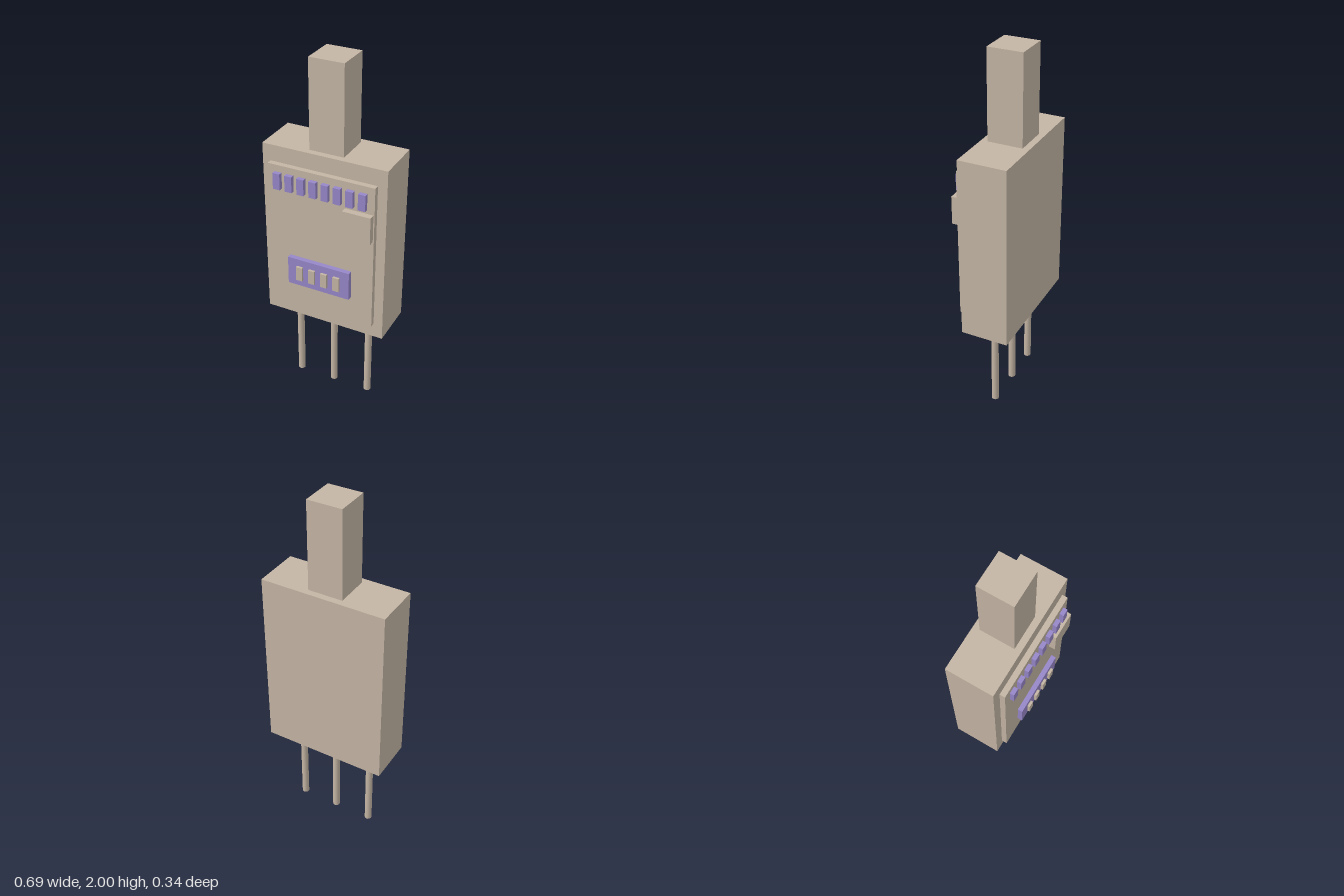
import * as THREE from 'three';

export function createModel() {
  const model = new THREE.Group();
  model.name = 'electronicModule';
  const tan = new THREE.MeshStandardMaterial({ color: 0xc4b5a4 });
  const purple = new THREE.MeshStandardMaterial({ color: 0x9686c8 });

  // Box given by its limits on each axis
  function box(name, [x0, x1], [y0, y1], [z0, z1], material = tan) {
    const mesh = new THREE.Mesh(new THREE.BoxGeometry(x1 - x0, y1 - y0, z1 - z0), material);
    mesh.position.set((x0 + x1) / 2, (y0 + y1) / 2, (z0 + z1) / 2);
    mesh.name = name;
    model.add(mesh);
  }

  // Housing with the square stem on top
  box('housing', [-0.346, 0.346], [0.508, 1.518], [-0.172, 0.09]);
  box('stem', [-0.096, 0.095], [1.518, 2], [-0.136, 0.055]);

  // Circuit board on the front, with a square chip
  box('board', [-0.299, 0.297], [0.598, 1.43], [0.094, 0.124]);
  box('chip', [0.137, 0.291], [1.127, 1.28], [0.124, 0.158]);

  // Row of indicator lights
  for (let i = 0; i < 8; i++) {
    const x = -0.239 + i * 0.068;
    box(`light${i + 1}`, [x - 0.02, x + 0.02], [1.303, 1.393], [0.126, 0.149], purple);
  }

  // Switch block with four sliders
  box('switchBlock', [-0.181, 0.176], [0.751, 0.914], [0.126, 0.153], purple);
  for (let i = 0; i < 4; i++) {
    const x = -0.109 + i * 0.0717;
    box(`slider${i + 1}`, [x - 0.018, x + 0.018], [0.792, 0.874], [0.154, 0.168]);
  }

  // Three round pins underneath
  const pinGeometry = new THREE.CylinderGeometry(0.02, 0.02, 0.508, 16);
  ['rightPin', 'middlePin', 'leftPin'].forEach((name, i) => {
    const pin = new THREE.Mesh(pinGeometry, tan);
    pin.position.set(-0.217 + i * 0.2145, 0.254, -0.037);
    pin.name = name;
    model.add(pin);
  });

  return model;
}
